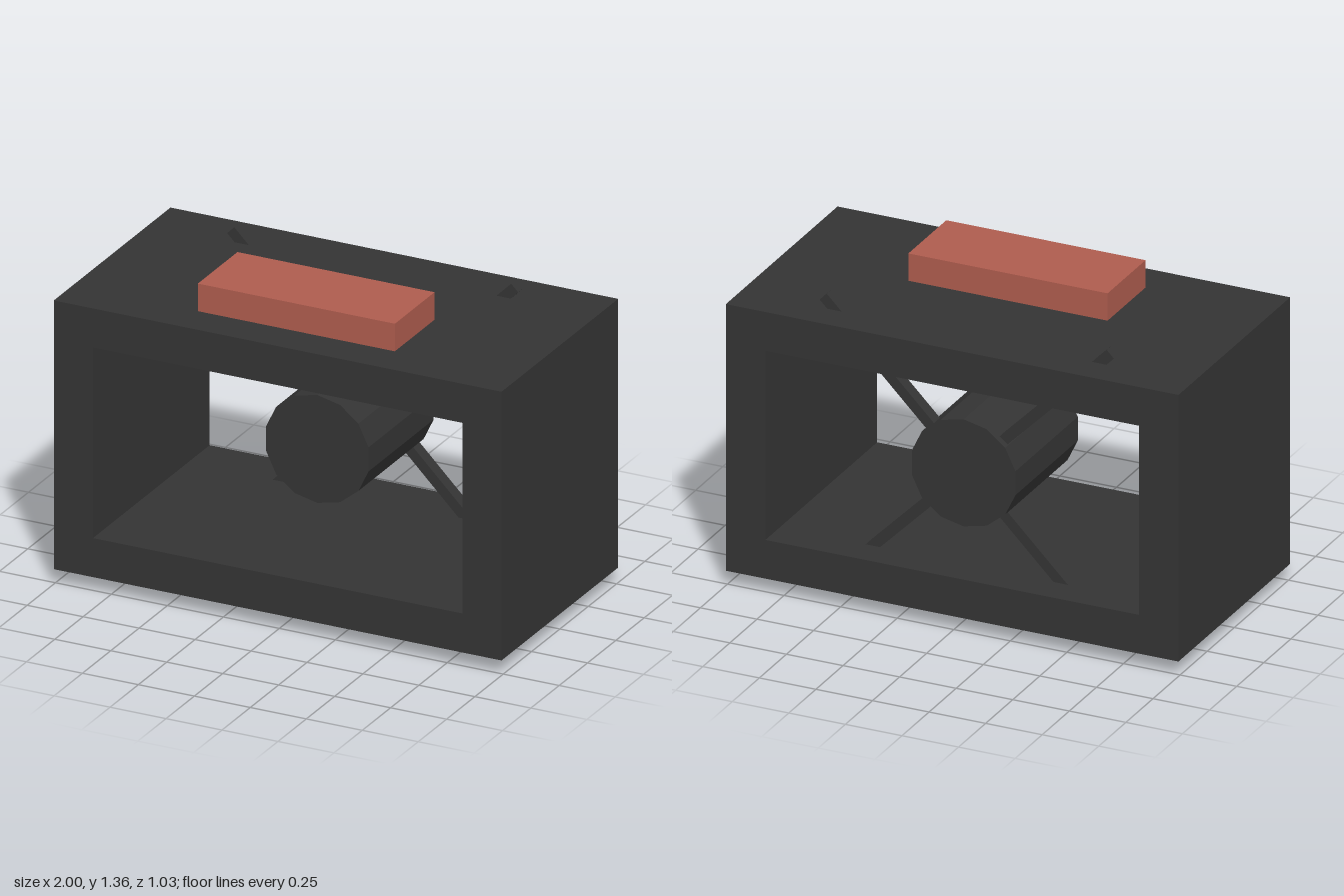
import * as THREE from 'three';

const charcoal = new THREE.MeshStandardMaterial({ color: 0x343434, flatShading: true });
charcoal.name = 'charcoal';
const brickRed = new THREE.MeshStandardMaterial({ color: 0xae5c4e, flatShading: true });
brickRed.name = 'brick red';

const CENTRE_Y = 0.655;

function addPart(parent, name, geometry, material, x, y, z) {
  const mesh = new THREE.Mesh(geometry, material);
  mesh.name = name;
  mesh.position.set(x, y, z);
  parent.add(mesh);
  return mesh;
}

// Counter-clockwise rectangle centred on the origin
function rectangle(PathType, halfW, halfH) {
  return new PathType([
    new THREE.Vector2(-halfW, -halfH), new THREE.Vector2(halfW, -halfH),
    new THREE.Vector2(halfW, halfH), new THREE.Vector2(-halfW, halfH),
  ]);
}

export function createModel() {
  const model = new THREE.Group();
  model.name = 'framedMotor';

  // Open rectangular housing, hollow from front to back
  const depth = 1.03;
  const outline = rectangle(THREE.Shape, 1, 0.585);
  outline.holes.push(rectangle(THREE.Path, 0.825, 0.415));
  const housing = new THREE.ExtrudeGeometry(outline, { depth, bevelEnabled: false });
  addPart(model, 'housing', housing, charcoal, 0, CENTRE_Y, -depth / 2);

  // Fourteen-sided motor hub along z
  const hub = new THREE.CylinderGeometry(0.235, 0.235, 0.575, 14).rotateX(Math.PI / 2);
  addPart(model, 'hub', hub, charcoal, 0, CENTRE_Y, -0.122);

  // Two crossed struts that poke through the housing
  const strut = new THREE.BoxGeometry(1.794, 0.045, 0.056);
  for (const side of [1, -1]) {
    const mesh = addPart(model, side > 0 ? 'risingStrut' : 'fallingStrut', strut, charcoal, 0, CENTRE_Y, -0.352);
    mesh.rotation.z = side * Math.PI / 4;
  }

  // Block on the roof
  addPart(model, 'topBlock', new THREE.BoxGeometry(0.88, 0.12, 0.35), brickRed, 0, 1.3, 0.175);

  return model;
}
